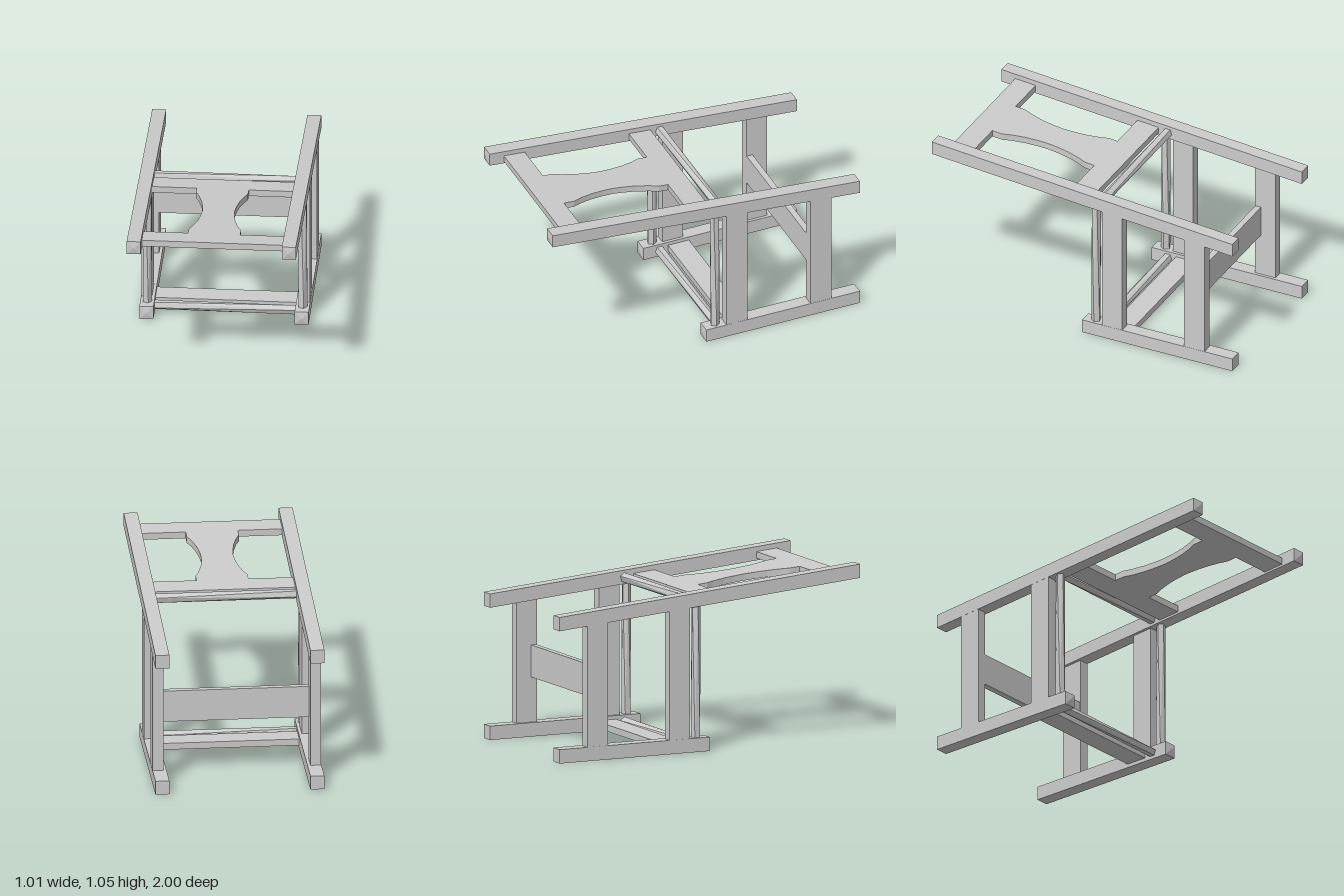
import * as THREE from 'three';

const SLOPE = 0.085;          // rise of the armrests and panel per unit of z
const IN = 0.42, OUT = 0.503; // inner and outer x of the side frames
const railY = (z) => 0.9225 + SLOPE * z;

const material = new THREE.MeshStandardMaterial({ color: 0xcccccc, flatShading: true });

function add(group, name, geometry, x = 0, y = 0, z = 0) {
  const mesh = new THREE.Mesh(geometry, material);
  mesh.name = name;
  mesh.position.set(x, y, z);
  group.add(mesh);
  return mesh;
}

// Outline in (z, y), extruded across x from x0 to x1
function sideProfile(points, x0, x1) {
  const shape = new THREE.Shape(points.map(([z, y]) => new THREE.Vector2(z, y)));
  const geo = new THREE.ExtrudeGeometry(shape, { depth: x1 - x0, bevelEnabled: false });
  return geo.rotateY(-Math.PI / 2).translate(x1, 0, 0);
}

// Shallow pyramid on the front end of a rail
function endCap() {
  return new THREE.ConeGeometry(0.0415 * Math.SQRT2, 0.008, 4, 1, true)
    .rotateY(Math.PI / 4).rotateX(Math.PI / 2);
}

// Five-sided rod whose ends are turned against each other
function twistedRod(length) {
  const geo = new THREE.CylinderGeometry(0.029, 0.029, length, 5, 1);
  const p = geo.attributes.position;
  for (let i = 0; i < p.count; i++) {
    const a = p.getY(i) > 0 ? 0.3 : -0.3;
    const x = p.getX(i), z = p.getZ(i);
    p.setX(i, x * Math.cos(a) - z * Math.sin(a));
    p.setZ(i, x * Math.sin(a) + z * Math.cos(a));
  }
  return geo;
}

// Sloping panel: two cross boards joined by a waisted centre splat
function panelGeometry() {
  const half = [
    [IN, -0.05], [IN, 0.09], [0.155, 0.09], [0.155, 0.15], [0.134, 0.2], [0.112, 0.28],
    [0.1, 0.36], [0.096, 0.425], [0.1, 0.49], [0.112, 0.57], [0.134, 0.65],
    [0.155, 0.7], [0.155, 0.765], [IN, 0.765], [IN, 0.9],
  ];
  const mirrored = half.map(([x, z]) => [-x, z]).reverse();
  const shape = new THREE.Shape([...half, ...mirrored].map(([x, z]) => new THREE.Vector2(x, z)));
  const geo = new THREE.ExtrudeGeometry(shape, { depth: 0.04, bevelEnabled: false });
  geo.rotateX(Math.PI / 2).translate(0, 0.02, 0);
  const p = geo.attributes.position;
  for (let i = 0; i < p.count; i++) p.setY(i, p.getY(i) + 0.914 + SLOPE * p.getZ(i));
  geo.computeVertexNormals();
  return geo;
}

function createSide(sign) {
  const side = new THREE.Group();
  side.name = sign > 0 ? 'leftSide' : 'rightSide';
  const x0 = sign > 0 ? IN : -OUT, x1 = sign > 0 ? OUT : -IN;
  const mid = (x0 + x1) / 2;
  const h = 0.0415;

  // Long sloping top rail and shorter foot rail
  add(side, 'topRail', sideProfile([
    [-1, railY(-1) - h], [0.992, railY(0.992) - h], [0.992, railY(0.992) + h], [-1, railY(-1) + h],
  ], x0, x1));
  add(side, 'topRailCap', endCap(), mid, railY(0.992), 0.996);
  add(side, 'footRail', sideProfile([[-1, 0], [-0.004, 0], [-0.004, 0.084], [-1, 0.084]], x0, x1));
  add(side, 'footRailCap', endCap(), mid, 0.042, 0);

  // Posts, cut to the slope of the rail
  const p0 = sign > 0 ? 0.438 : -0.502, p1 = sign > 0 ? 0.502 : -0.438;
  for (const [name, back, front] of [['frontPost', -0.27, -0.135], ['backPost', -0.815, -0.68]]) {
    add(side, name, sideProfile([
      [back, 0.08], [front, 0.08], [front, railY(front) - 0.035], [back, railY(back) - 0.035],
    ], p0, p1));
  }

  // Upright twisted rod ahead of the front post
  add(side, 'uprightRod', twistedRod(0.8), sign * 0.462, 0.48, -0.077);
  return side;
}

export function createModel() {
  const model = new THREE.Group();
  model.name = 'slopingFrame';
  model.add(createSide(1), createSide(-1));

  add(model, 'slopingPanel', panelGeometry());
  add(model, 'backBoard', new THREE.BoxGeometry(0.88, 0.193, 0.038), 0, 0.452, -0.701);
  add(model, 'footBoard', new THREE.BoxGeometry(0.85, 0.04, 0.135), 0, 0.042, -0.232);

  // Twisted cross rods at the top and at the foot
  for (const [name, y] of [['topCrossRod', 0.911], ['footCrossRod', 0.043]]) {
    add(model, name, twistedRod(0.85).rotateZ(Math.PI / 2), 0, y, -0.11);
  }
  return model;
}
